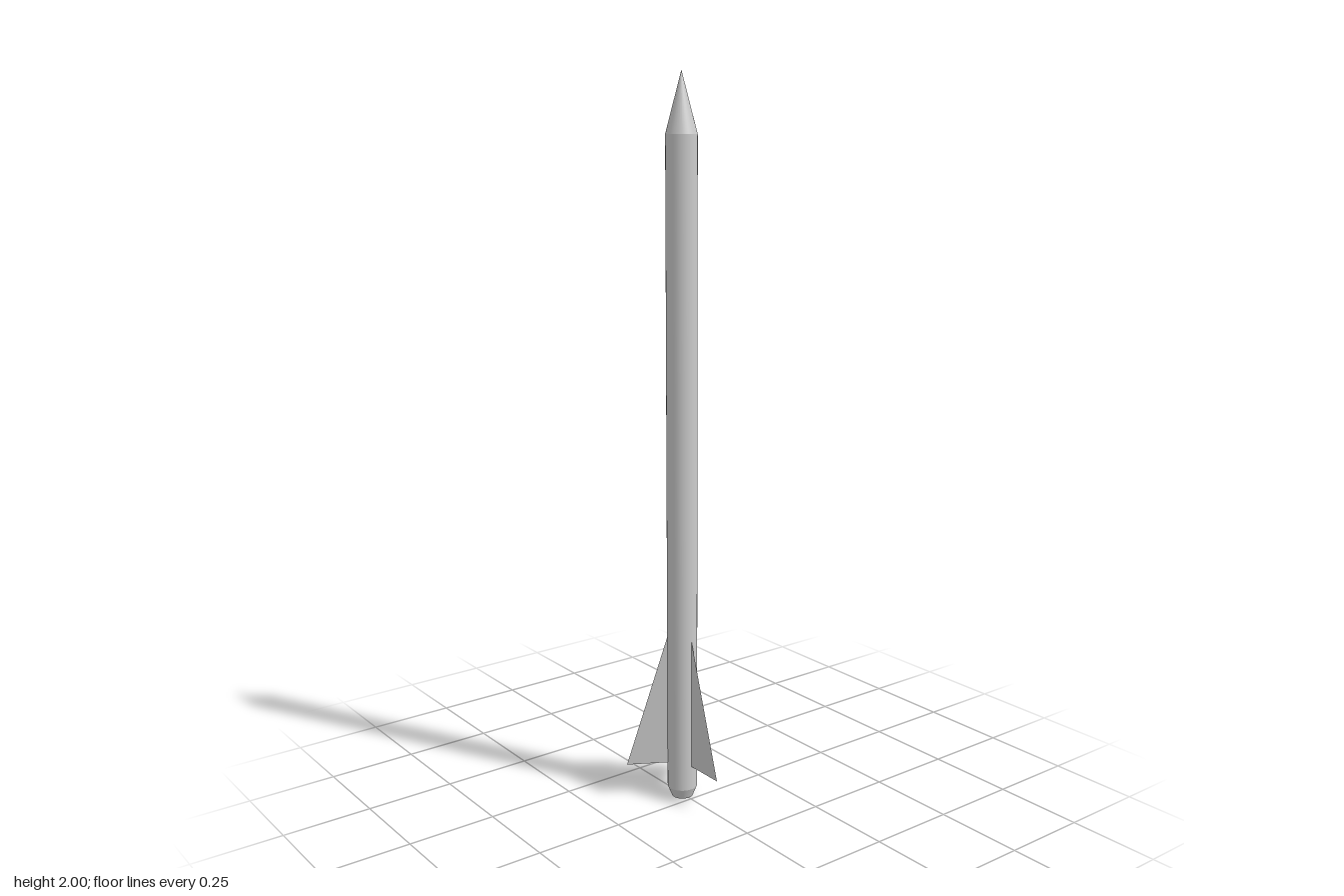
import * as THREE from 'three';

export function createModel() {
  const rocket = new THREE.Group();
  rocket.name = 'rocket';
  const axisX = -0.04, radius = 0.042, sides = 32;
  const grey = new THREE.MeshStandardMaterial({ color: 0xcccccc });
  const thin = new THREE.MeshStandardMaterial({ color: 0xcccccc, side: THREE.DoubleSide });

  // One round section of the hull, from height y0 to y1
  function section(name, r0, r1, y0, y1, open = true) {
    const geometry = new THREE.CylinderGeometry(r1, r0, y1 - y0, sides, 1, open);
    const mesh = new THREE.Mesh(geometry, grey);
    mesh.name = name;
    mesh.position.set(axisX, (y0 + y1) / 2, 0);
    rocket.add(mesh);
  }
  section('tailEnd', 0.03, 0.034, 0, 0.01, false);
  section('tailChamfer', 0.034, radius, 0.01, 0.03);
  section('body', radius, radius, 0.03, 1.84);
  section('noseCone', radius, 0, 1.84, 2);

  // Three flat swept fins, evenly spaced around the tail
  const finShape = new THREE.Shape([
    new THREE.Vector2(radius - 0.001, 0.1),
    new THREE.Vector2(0.158, 0.1),
    new THREE.Vector2(radius - 0.001, 0.48),
  ]);
  const finGeometry = new THREE.ShapeGeometry(finShape);
  for (let i = 0; i < 3; i++) {
    const fin = new THREE.Mesh(finGeometry, thin);
    fin.name = `fin${i + 1}`;
    fin.position.x = axisX;
    fin.rotation.y = (i * Math.PI * 2) / 3;
    rocket.add(fin);
  }
  return rocket;
}
